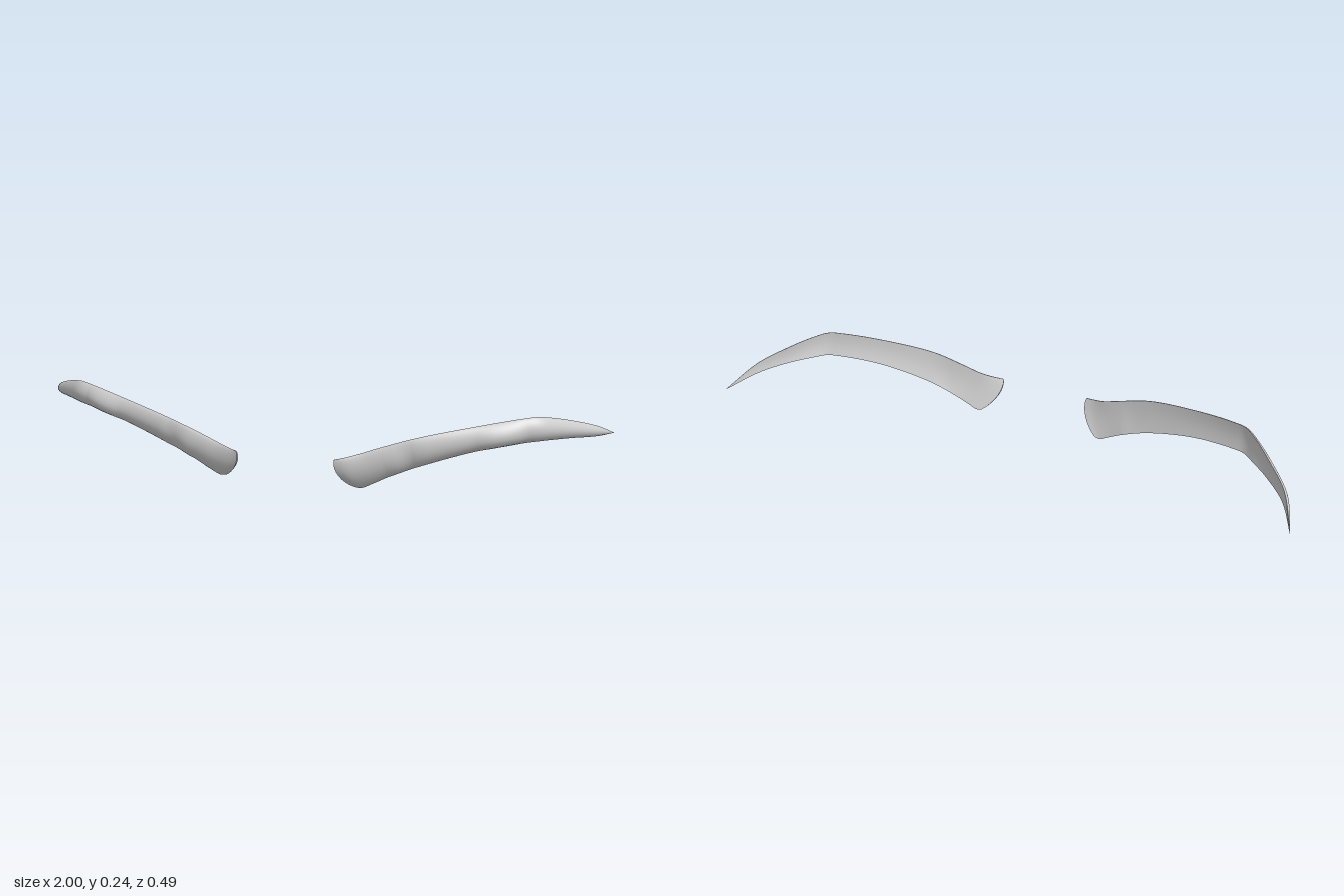
import * as THREE from 'three';
import { mergeGeometries } from 'three/addons/utils/BufferGeometryUtils.js';

// Stations from inner end to outer tip:
// top edge xyz, bottom edge xyz, front bulge, back hollow, end sag
const STATIONS = [
  [0.162, 0.114, 0.243, 0.222, 0.004, 0.182, 0.016, 0.002, 0.024],
  [0.190, 0.119, 0.234, 0.238, 0.003, 0.180, 0.022, 0.003, 0.013],
  [0.235, 0.131, 0.219, 0.275, 0.021, 0.178, 0.024, 0.004, 0.004],
  [0.300, 0.154, 0.208, 0.325, 0.047, 0.171, 0.025, 0.004, 0],
  [0.410, 0.189, 0.190, 0.420, 0.086, 0.157, 0.025, 0.004, 0],
  [0.580, 0.223, 0.137, 0.590, 0.137, 0.112, 0.028, 0.004, 0],
  [0.720, 0.244, 0.083, 0.730, 0.160, 0.064, 0.028, 0.004, 0],
  [0.765, 0.247, 0.062, 0.772, 0.163, 0.046, 0.027, 0.004, 0],
  [0.810, 0.236, 0.023, 0.808, 0.160, 0.014, 0.025, 0.004, 0],
  [0.870, 0.212, -0.040, 0.866, 0.153, -0.040, 0.021, 0.003, 0],
  [0.943, 0.174, -0.125, 0.940, 0.137, -0.125, 0.014, 0.001, 0],
  [1.000, 0.114, -0.250, 1.000, 0.113, -0.250, 0.000, 0.000, 0],
];
const ALONG = 66;
const ACROSS = 12;

// Smooth curve through three columns of the station table
const column = (i) => new THREE.CatmullRomCurve3(
  STATIONS.map((s) => new THREE.Vector3(s[i], s[i + 1], s[i + 2])));

// Joins rows of points into a smooth surface
function loft(rows, flip) {
  const n = rows[0].length;
  const index = [];
  for (let i = 0; i < rows.length - 1; i++) {
    for (let j = 0; j < n - 1; j++) {
      const a = i * n + j, b = a + 1, c = a + n, d = c + 1;
      if (flip) index.push(a, c, b, b, c, d);
      else index.push(a, b, c, b, d, c);
    }
  }
  const geometry = new THREE.BufferGeometry();
  geometry.setAttribute('position', new THREE.Float32BufferAttribute(
    rows.flat().flatMap((p) => [p.x, p.y, p.z]), 3));
  geometry.setIndex(index);
  geometry.computeVertexNormals();
  return geometry;
}

function browGeometry(side) {
  const top = column(0), bottom = column(3), bulge = column(6);
  const sections = [];
  for (let i = 0; i <= ALONG; i++) {
    const u = i / ALONG;
    const t = top.getPoint(u), b = bottom.getPoint(u), w = bulge.getPoint(u);
    const tangent = top.getTangent(u).add(bottom.getTangent(u)).normalize();
    const normal = tangent.clone().cross(t.clone().sub(b)).normalize();
    // Up the back, over the rounded top edge, down the front to a sharp bottom edge
    const section = [];
    for (let j = -ACROSS; j <= ACROSS; j++) {
      const v = (1 - Math.cos(Math.PI * j / ACROSS)) / 2;
      const arc = Math.max(Math.sin(Math.PI * v), 0);
      const full = Math.pow(arc, 0.65);
      const p = t.clone().lerp(b, v);
      p.x -= w.z * full;
      p.addScaledVector(normal, j > 0 ? w.x * full : w.y * arc);
      p.x *= side;
      section.push(p);
    }
    sections.push(section);
  }
  const end = sections[0];
  const endBack = end.slice(0, ACROSS + 1).reverse();
  return mergeGeometries([
    loft(sections, side < 0),
    loft([endBack, end.slice(ACROSS)], side < 0), // inner end cap
  ]);
}

export function createModel() {
  const group = new THREE.Group();
  group.name = 'eyebrows';
  const material = new THREE.MeshStandardMaterial({ color: 0xcccccc, side: THREE.DoubleSide });
  for (const [name, side] of [['leftEyebrow', 1], ['rightEyebrow', -1]]) {
    const brow = new THREE.Mesh(browGeometry(side), material);
    brow.name = name;
    group.add(brow);
  }
  return group;
}
